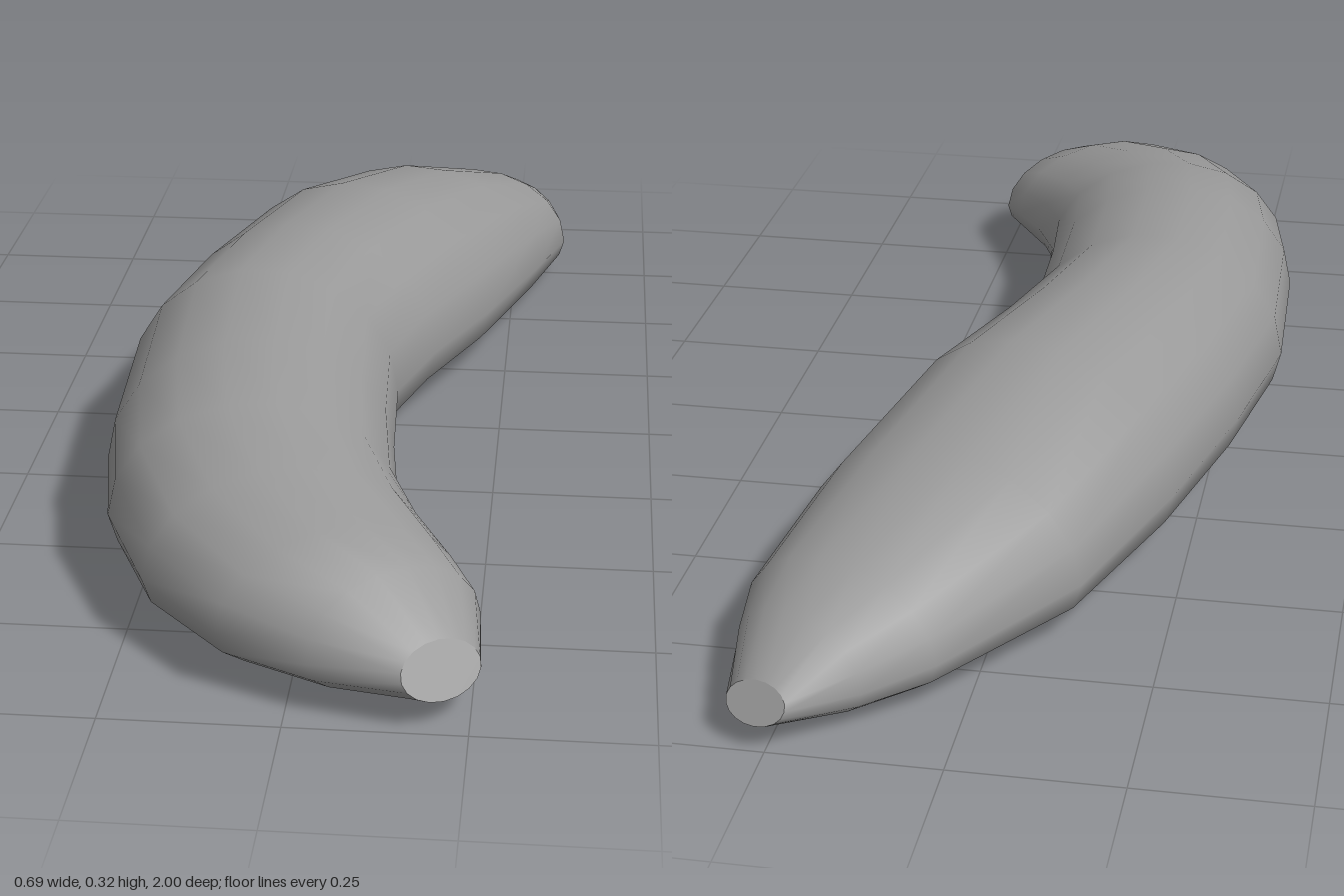
import * as THREE from 'three';

const SIDES = 18;

// Cross-sections from back tip to front tip:
// outer edge x, z, inner edge x, z, bottom y, top y, forward lean of the underside
const SECTIONS = [
  [0.22, -0.995, 0.31, -0.965, 0.04, 0.092, -0.017],
  [0.13, -0.925, 0.335, -0.83, 0.006, 0.15, 0],
  [0.04, -0.855, 0.344, -0.74, 0.001, 0.19, 0],
  [-0.13, -0.65, 0.30, -0.52, 0.0, 0.265, 0],
  [-0.23, -0.40, 0.22, -0.23, 0.002, 0.318, 0],
  [-0.30, -0.13, 0.14, -0.03, 0.005, 0.323, 0],
  [-0.345, 0.12, 0.09, 0.14, 0.008, 0.322, 0],
  [-0.332, 0.43, 0.10, 0.35, 0.01, 0.307, 0],
  [-0.30, 0.61, 0.12, 0.53, 0.013, 0.282, 0],
  [-0.22, 0.79, 0.165, 0.64, 0.016, 0.25, 0],
  [-0.10, 0.915, 0.22, 0.735, 0.018, 0.216, 0],
  [0.03, 0.97, 0.255, 0.80, 0.022, 0.18, 0.008],
  [0.16, 0.995, 0.26, 0.91, 0.038, 0.106, 0.022],
];

// Rounded top, flatter underside
function ring([ox, oz, ix, iz, bottom, top, lean], atTip) {
  const wideY = bottom + (top - bottom) * (atTip ? 0.5 : 0.37);
  const dx = ix - ox, dz = iz - oz;
  const width = Math.hypot(dx, dz);
  return Array.from({ length: SIDES }, (_, j) => {
    const a = (j / SIDES) * Math.PI * 2;
    const s = Math.sin(a);
    const t = (1 + Math.cos(a)) / 2;
    const y = s >= 0
      ? wideY + s * (top - wideY)
      : wideY - Math.pow(-s, atTip ? 1 : 0.8) * (wideY - bottom);
    const shift = (-s * lean) / width;
    return new THREE.Vector3(ox + dx * t - dz * shift, y, oz + dz * t + dx * shift);
  });
}

function makeGeometry(points, index) {
  const geometry = new THREE.BufferGeometry().setFromPoints(points);
  geometry.setIndex(index);
  geometry.computeVertexNormals();
  return geometry;
}

// Skin stretched over successive rings
function loft(rings) {
  const index = [];
  for (let i = 0; i < rings.length - 1; i++) {
    for (let j = 0; j < SIDES; j++) {
      const k = (j + 1) % SIDES;
      const a = i * SIDES + j, b = i * SIDES + k;
      index.push(a, b, a + SIDES, b, b + SIDES, a + SIDES);
    }
  }
  return makeGeometry(rings.flat(), index);
}

// Flat disc closing one end
function cap(points, facesFront) {
  const index = [];
  for (let j = 1; j < SIDES - 1; j++) {
    index.push(0, ...(facesFront ? [j, j + 1] : [j + 1, j]));
  }
  return makeGeometry(points, index);
}

export function createModel() {
  const group = new THREE.Group();
  group.name = 'curvedFruit';
  const material = new THREE.MeshStandardMaterial({ color: 0x999999 });
  const add = (name, geometry) => {
    const mesh = new THREE.Mesh(geometry, material);
    mesh.name = name;
    group.add(mesh);
  };

  const last = SECTIONS.length - 1;
  const rings = SECTIONS.map((s, i) => ring(s, i === 0 || i === last));
  add('body', loft(rings));
  add('backTip', cap(rings[0], false));
  add('frontTip', cap(rings[last], true));
  return group;
}
